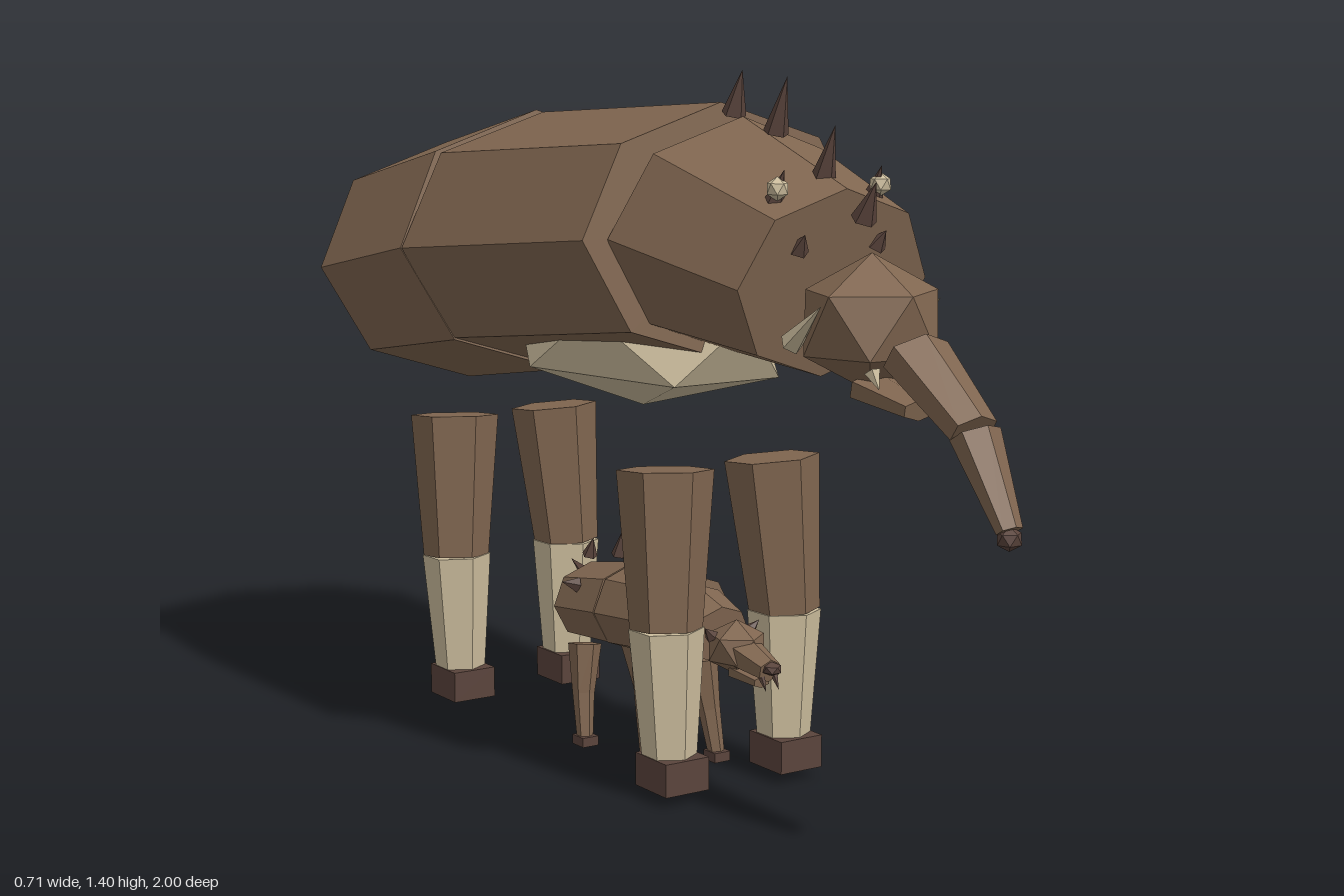
import * as THREE from 'three';

const mat = (name, color) => Object.assign(new THREE.MeshStandardMaterial({ color }), { name });

export function createModel() {
  const root = new THREE.Group();
  root.name = 'beastAndCalf';
  const hide = mat('brown hide', 0x806650);
  const horn = mat('dark horn', 0x5a443c);
  const cream = mat('pale cream', 0xcdbe9e);
  const Y = new THREE.Vector3(0, 1, 0);

  // Faceted mesh: unshared vertices give flat normals
  function facet(parent, name, geo, material) {
    const g = geo.index ? geo.toNonIndexed() : geo;
    g.computeVertexNormals();
    const m = new THREE.Mesh(g, material);
    m.name = name;
    parent.add(m);
    return m;
  }
  // Tapered prism from point a (radius ra) to b (radius rb); flat squashes its depth
  function limb(parent, name, a, b, ra, rb, sides, material, flat = 1) {
    const p = new THREE.Vector3(...a), q = new THREE.Vector3(...b);
    const dir = q.clone().sub(p);
    const m = facet(parent, name, new THREE.CylinderGeometry(rb, ra, dir.length(), sides), material);
    m.position.copy(p).add(q).multiplyScalar(0.5);
    m.quaternion.setFromUnitVectors(Y, dir.normalize());
    m.scale.z = flat;
    return m;
  }
  // Icosahedron standing on a vertex, stretched to three radii
  function lump(parent, name, pos, size, material, yaw = 0) {
    const g = new THREE.IcosahedronGeometry(1, 0);
    g.rotateX(-Math.atan2(2, 1 + Math.sqrt(5)) - 0).rotateX(0);
    // bring the (0, 1, t) vertex exactly upright
    const p = g.attributes.position;
    let best = new THREE.Vector3(), v = new THREE.Vector3();
    for (let i = 0; i < p.count; i++) {
      v.fromBufferAttribute(p, i);
      if (Math.abs(v.x) < 1e-4 && v.y > best.y) best.copy(v);
    }
    g.rotateX(-Math.atan2(best.z, best.y)).rotateY(yaw).scale(...size);
    const m = facet(parent, name, g, material);
    m.position.set(...pos);
    return m;
  }
  const spike = (parent, name, a, b, r, material = horn) => limb(parent, name, a, b, r, 0, 5, material);
  const box = (parent, name, pos, size, material) => {
    const m = facet(parent, name, new THREE.BoxGeometry(...size), material);
    m.position.set(...pos);
    return m;
  };

  // ---------- Large beast ----------
  const beast = new THREE.Group();
  beast.name = 'beast';
  root.add(beast);

  // Body of three octagonal barrels
  limb(beast, 'rump', [0, 0.962, -0.908], [0, 1.035, -0.505], 0.342, 0.357, 8, hide, 0.78);
  limb(beast, 'trunk', [0, 1.035, -0.5], [0, 1.095, 0.155], 0.357, 0.327, 8, hide, 0.76);
  limb(beast, 'shoulders', [0, 1.095, 0.158], [0, 1.025, 0.49], 0.274, 0.214, 8, hide, 0.83);
  lump(beast, 'belly', [0, 0.87, -0.14], [0.235, 0.145, 0.41], cream);
  lump(beast, 'hindPad', [0, 0.965, -0.905], [0.13, 0.16, 0.065], hide);
  lump(beast, 'tailKnob', [0, 1.0, -0.965], [0.036, 0.036, 0.038], horn);

  // Head, snout and jaw
  lump(beast, 'head', [0, 0.965, 0.6], [0.145, 0.125, 0.13], hide);
  limb(beast, 'upperSnout', [0, 0.922, 0.725], [0, 0.808, 0.882], 0.07, 0.05, 6, hide, 0.68);
  limb(beast, 'lowerSnout', [0, 0.803, 0.886], [0, 0.65, 0.978], 0.05, 0.026, 6, hide, 0.75);
  lump(beast, 'snoutTip', [0, 0.637, 0.978], [0.025, 0.022, 0.023], horn);
  limb(beast, 'jaw', [0, 0.85, 0.61], [0, 0.825, 0.74], 0.06, 0.04, 6, hide, 0.5);

  // Ridge spikes: [z, y] of base and of tip
  const ridge = [
    [0.175, 1.32, 0.203, 1.405], [0.31, 1.29, 0.345, 1.395],
    [0.455, 1.21, 0.49, 1.31], [0.575, 1.145, 0.61, 1.215],
  ];
  for (const [z, y, tz, ty] of ridge) spike(beast, 'ridgeSpike', [0, y, z], [0, ty, tz], 0.025);

  for (const s of [-1, 1]) {
    // Brow studs, cheek spikes, tusks and teeth
    lump(beast, 'browStud', [s * 0.117, 1.2, 0.475], [0.022, 0.022, 0.022], cream);
    spike(beast, 'browSpike', [s * 0.112, 1.175, 0.46], [s * 0.11, 1.235, 0.487], 0.02);
    spike(beast, 'cheekSpike', [s * 0.088, 1.09, 0.5], [s * 0.092, 1.12, 0.525], 0.02);
    spike(beast, 'tusk', [s * 0.132, 0.93, 0.54], [s * 0.135, 1.005, 0.63], 0.022, cream);
    spike(beast, 'tooth', [s * 0.06, 0.89, 0.68], [s * 0.06, 0.86, 0.7], 0.015, cream);

    // Legs, front and rear alike
    for (const [z, tag] of [[0, 'front'], [-0.832, 'rear']]) {
      limb(beast, tag + 'Thigh', [s * 0.142, 0.335, 0.155 + z], [s * 0.127, 0.643, 0.13 + z], 0.071, 0.095, 6, hide);
      limb(beast, tag + 'Shin', [s * 0.138, 0.085, 0.16 + z], [s * 0.141, 0.337, 0.155 + z], 0.054, 0.074, 6, cream);
      box(beast, tag + 'Foot', [s * 0.137, 0.054, 0.168 + z], [0.1, 0.066, 0.108], horn);
    }
  }

  // ---------- Calf beneath ----------
  const calf = new THREE.Group();
  calf.name = 'calf';
  root.add(calf);

  limb(calf, 'calfRump', [0, 0.279, -0.337], [0, 0.3, -0.167], 0.097, 0.108, 8, hide, 0.85);
  limb(calf, 'calfTrunk', [0, 0.3, -0.163], [0, 0.315, 0.03], 0.108, 0.102, 8, hide, 0.86);
  limb(calf, 'calfShoulders', [0, 0.312, 0.034], [0, 0.3, 0.135], 0.088, 0.068, 8, hide, 0.85);
  lump(calf, 'calfBelly', [0, 0.24, -0.075], [0.065, 0.045, 0.11], cream);
  lump(calf, 'calfHindPad', [0, 0.285, -0.345], [0.06, 0.07, 0.04], hide);
  spike(calf, 'calfTail', [0, 0.325, -0.34], [0, 0.355, -0.425], 0.02);

  // Calf head with short snout
  lump(calf, 'calfHead', [0, 0.287, 0.19], [0.062, 0.055, 0.065], hide);
  limb(calf, 'calfSnout', [0, 0.28, 0.22], [0, 0.262, 0.3], 0.04, 0.026, 6, hide, 0.9);
  limb(calf, 'calfJaw', [0, 0.243, 0.2], [0, 0.235, 0.275], 0.03, 0.02, 6, hide, 0.6);
  lump(calf, 'calfNose', [0, 0.268, 0.307], [0.02, 0.014, 0.022], horn);

  for (const [z, y, h] of [[0.03, 0.385, 0.035], [-0.1, 0.41, 0.045], [-0.235, 0.395, 0.055], [-0.35, 0.375, 0.04]])
    spike(calf, 'calfRidgeSpike', [0, y, z], [0, y + h, z + 0.015], 0.017);

  for (const s of [-1, 1]) {
    spike(calf, 'calfEar', [s * 0.045, 0.31, 0.17], [s * 0.065, 0.33, 0.175], 0.014);
    spike(calf, 'calfFang', [s * 0.015, 0.25, 0.295], [s * 0.015, 0.225, 0.31], 0.007);
    spike(calf, 'calfFlankStud', [s * 0.08, 0.335, -0.27], [s * 0.115, 0.345, -0.275], 0.017);
    // Calf legs
    for (const [z, tag] of [[0, 'Front'], [-0.245, 'Rear']]) {
      limb(calf, `calf${tag}Thigh`, [s * 0.075, 0.105, -0.012 + z], [s * 0.063, 0.208, -0.025 + z], 0.023, 0.035, 6, hide);
      limb(calf, `calf${tag}Shin`, [s * 0.082, 0.015, 0.004 + z], [s * 0.075, 0.107, -0.012 + z], 0.017, 0.023, 6, hide);
      box(calf, `calf${tag}Foot`, [s * 0.082, 0.01, 0.006 + z], [0.038, 0.02, 0.042], horn);
    }
  }
  return root;
}
